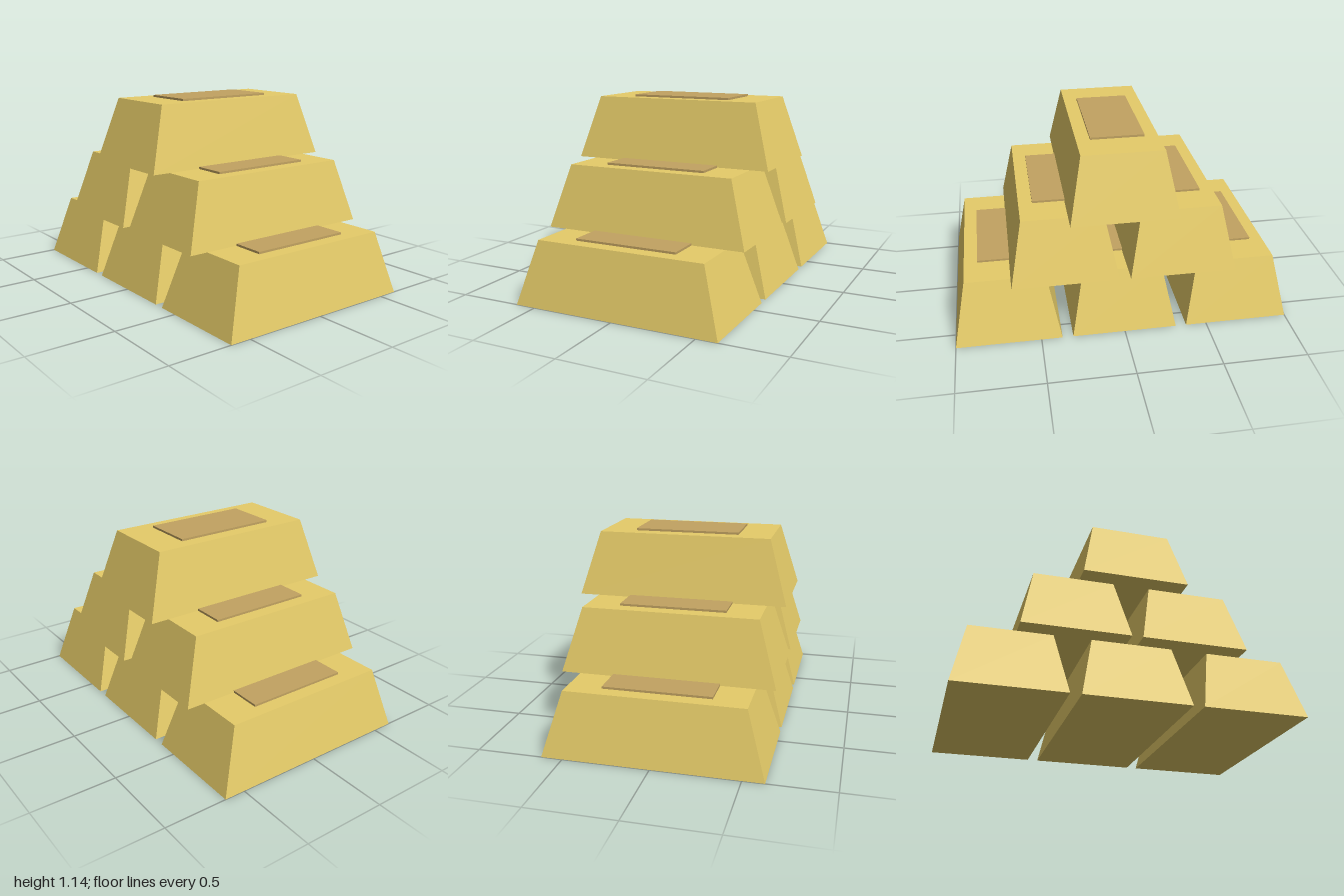
import * as THREE from 'three';

const HEIGHT = 0.375, PLATE_H = 0.0125;
const BOTTOM = { x: 0.623, z: 0.312 }, TOP = { x: 0.512, z: 0.236 };

// Box whose upper corners are pulled in to give sloped sides
function ingotGeometry() {
  const geo = new THREE.BoxGeometry(2, HEIGHT, 2).translate(0, HEIGHT / 2, 0);
  const pos = geo.attributes.position;
  for (let i = 0; i < pos.count; i++) {
    const half = pos.getY(i) > HEIGHT / 2 ? TOP : BOTTOM;
    pos.setX(i, pos.getX(i) * half.x);
    pos.setZ(i, pos.getZ(i) * half.z);
  }
  geo.computeVertexNormals();
  return geo;
}

export function createModel() {
  const model = new THREE.Group();
  model.name = 'ingotStack';

  const gold = new THREE.MeshStandardMaterial({ color: 0xe6cc69, flatShading: true });
  const bronze = new THREE.MeshStandardMaterial({ color: 0xc2a361, flatShading: true });
  const barGeo = ingotGeometry();
  const plateGeo = new THREE.BoxGeometry(0.623, PLATE_H, 0.312);

  // Rows of three, two and one bars, each row centred on the one below
  const spacing = 0.688;
  for (let row = 0; row < 3; row++) {
    const count = 3 - row;
    for (let i = 0; i < count; i++) {
      const ingot = new THREE.Group();
      ingot.name = `ingotRow${row + 1}Number${i + 1}`;

      const bar = new THREE.Mesh(barGeo, gold);
      bar.name = 'bar';
      // Raised plate on the top face
      const plate = new THREE.Mesh(plateGeo, bronze);
      plate.name = 'topPlate';
      plate.position.y = HEIGHT + PLATE_H / 2;

      ingot.add(bar, plate);
      ingot.position.set(0, row * (HEIGHT + 0.001), (i - (count - 1) / 2) * spacing);
      model.add(ingot);
    }
  }
  return model;
}
